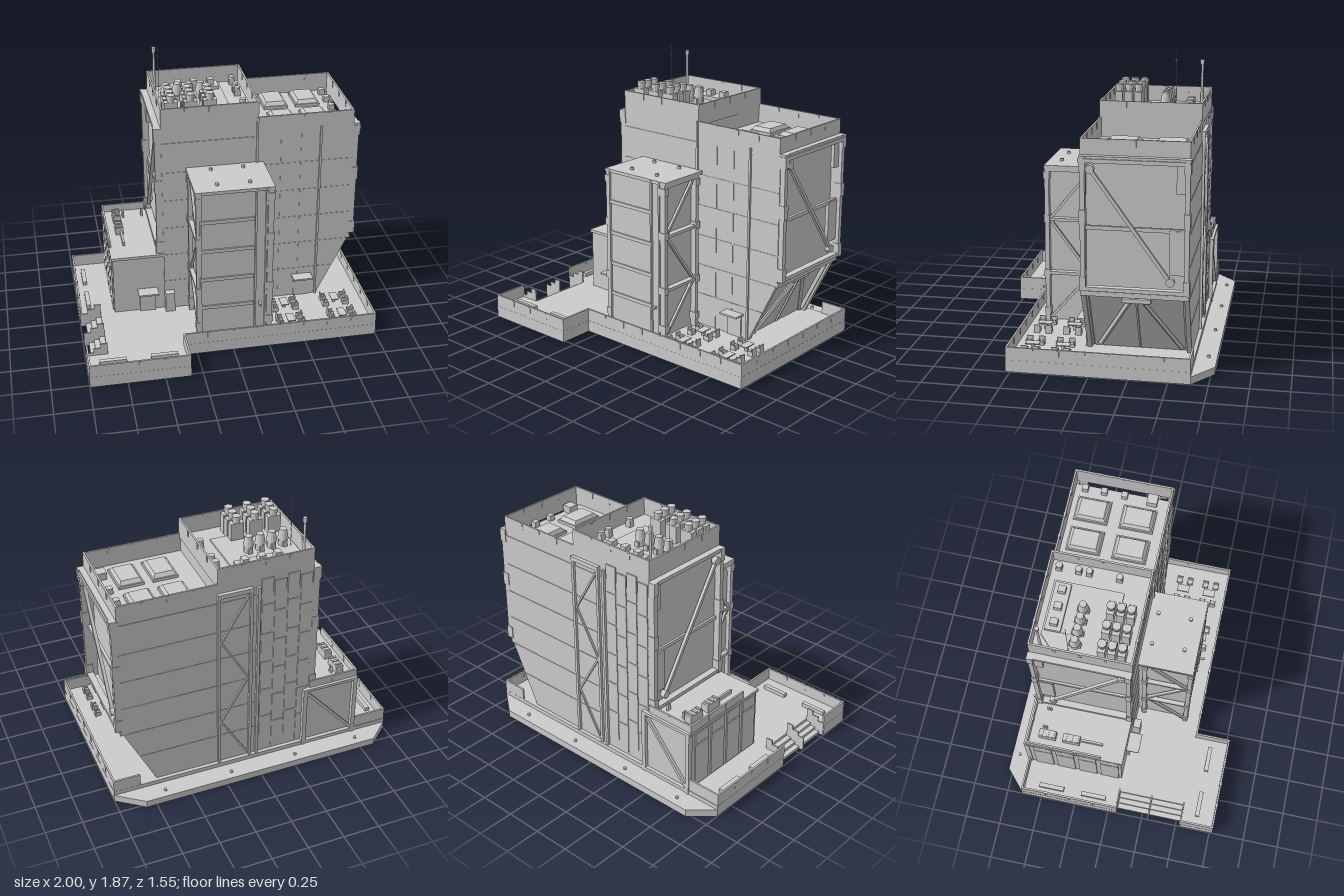
import * as THREE from 'three';

const mat = new THREE.MeshStandardMaterial({ color: 0xcccccc, flatShading: true });

export function createModel() {
  const root = new THREE.Group();
  let group = root;
  const section = (name) => { group = new THREE.Group(); group.name = name; root.add(group); };
  const add = (name, geo) => {
    const m = new THREE.Mesh(geo, mat);
    m.name = name;
    group.add(m);
    return m;
  };
  // Box given by its extents
  const box = (name, x0, x1, y0, y1, z0, z1) =>
    add(name, new THREE.BoxGeometry(x1 - x0, y1 - y0, z1 - z0)
      .translate((x0 + x1) / 2, (y0 + y1) / 2, (z0 + z1) / 2));
  const cyl = (name, x, z, y0, y1, r0, r1 = r0, n = 12) =>
    add(name, new THREE.CylinderGeometry(r1, r0, y1 - y0, n).translate(x, (y0 + y1) / 2, z));
  // Square bar between two points
  const beam = (name, a, b, w = 0.014) => {
    const p = new THREE.Vector3(...a), q = new THREE.Vector3(...b);
    const m = add(name, new THREE.BoxGeometry(w, w, p.distanceTo(q)));
    m.position.copy(p).lerp(q, 0.5);
    m.lookAt(q);
  };
  const shapeOf = (pts) => new THREE.Shape(pts.map(p => new THREE.Vector2(...p)));
  // Plan outline (x, z) raised from y0 to y1
  const plan = (name, pts, y0, y1) => add(name,
    new THREE.ExtrudeGeometry(shapeOf(pts.map(([x, z]) => [x, -z])), { depth: y1 - y0, bevelEnabled: false })
      .rotateX(-Math.PI / 2).translate(0, y0, 0));
  // Elevation outline (x, y) run from z0 to z1
  const slab = (name, pts, z0, z1) => add(name,
    new THREE.ExtrudeGeometry(shapeOf(pts), { depth: z1 - z0, bevelEnabled: false }).translate(0, 0, z0));
  // Thin wall along a plan path, with small ribs at the panel joints
  const parapet = (name, pts, y0, y1, t = 0.012) => {
    for (let i = 0; i < pts.length - 1; i++) {
      const [ax, az] = pts[i], [bx, bz] = pts[i + 1];
      const h = t / 2, len = Math.hypot(bx - ax, bz - az), n = Math.max(1, Math.round(len / 0.17));
      box(name, Math.min(ax, bx) - h, Math.max(ax, bx) + h, y0, y1, Math.min(az, bz) - h, Math.max(az, bz) + h);
      for (let k = 1; k < n; k++) {
        const x = ax + (bx - ax) * k / n, z = az + (bz - az) * k / n;
        box(name + 'Rib', x - 0.009, x + 0.009, y1 - 0.045, y1 - 0.004, z - 0.009, z + 0.009);
      }
    }
  };
  const D = 0.08; // deck level

  // Base with a notch for the entrance steps
  section('base');
  plan('plinth', [[-1, -0.64], [1, -0.64], [1, 0.53], [-0.33, 0.53], [-0.33, 0.77], [-1, 0.77],
    [-1, 0.53], [-0.855, 0.53], [-0.855, 0.06], [-1, 0.06]], 0, D);
  plan('rearLedge', [[-1, -0.64], [-0.85, -0.775], [0.82, -0.775], [1, -0.64]], 0, 0.05);
  for (const x of [-0.73, -0.27, 0.2, 0.67]) cyl('ledgeBollard', x, -0.72, 0.05, 0.065, 0.01);
  parapet('deckParapet', [[-0.76, -0.63], [-0.993, -0.63], [-0.993, 0.06]], D, 0.165);
  parapet('deckParapet', [[-0.993, 0.53], [-0.993, 0.763], [-0.337, 0.763], [-0.337, 0.523], [0.993, 0.523],
    [0.993, -0.633], [0.82, -0.633]], D, 0.165);
  for (let i = 0; i < 3; i++) {
    const x = -0.964 + i * 0.036;
    box('step', x, x + 0.037, i * 0.02, 0.02 + i * 0.02, 0.06, 0.53);
  }
  for (const z of [0.06, 0.295, 0.53]) for (let i = 0; i < 3; i++)
    box('stairRail', -0.995 + i * 0.047, -0.948 + i * 0.047, 0, 0.1 + i * 0.032, z - 0.005, z + 0.005);

  // Deck furniture
  section('deckFurniture');
  for (const [x, z, w, d] of [[-0.93, -0.43, 0.03, 0.18], [-0.93, -0.12, 0.03, 0.18], [-0.83, 0.64, 0.18, 0.03], [-0.49, 0.64, 0.18, 0.03]])
    box('bench', x - w / 2, x + w / 2, D, D + 0.028, z - d / 2, z + d / 2);
  for (const x of [0.425, 0.79]) for (const z of [0.2, 0.4]) {
    box('tableTop', x - 0.027, x + 0.027, 0.118, 0.125, z - 0.045, z + 0.045);
    box('tableLeg', x - 0.01, x + 0.01, D, 0.118, z - 0.01, z + 0.01);
    for (const s of [-1, 1]) for (const dz of [-0.04, 0.04]) {
      const cx = x + s * 0.07, cz = z + dz;
      box('chairSeat', cx - 0.02, cx + 0.02, D + 0.005, 0.105, cz - 0.02, cz + 0.02);
      box('chairBack', cx + s * 0.018 - 0.004, cx + s * 0.018 + 0.004, D, 0.135, cz - 0.02, cz + 0.02);
      for (const a of [-1, 1]) box('chairArm', cx - 0.018, cx + 0.018, 0.105, 0.117, cz + a * 0.018 - 0.004, cz + a * 0.018 + 0.004);
    }
  }

  // Main block: recessed sloping end between two cheek walls
  section('mainBlock');
  const profile = (x, y) => [[-0.4, 0.05], [x - 0.22, 0.05], [x - 0.22, D], [x, 0.53], [x, y], [-0.4, y]];
  slab('body', profile(0.87, 1.37), -0.6, 0.05);
  slab('frontWall', profile(0.915, 1.36), 0.03, 0.06);
  slab('rearWall', profile(0.915, 1.36), -0.615, -0.585);
  box('tower', -0.4, 0.25, 1.3, 1.49, -0.61, 0.055);
  parapet('mainParapet', [[0.25, 0.055], [0.905, 0.055], [0.905, -0.605], [0.25, -0.605]], 1.36, 1.5);
  parapet('towerParapet', [[-0.395, 0.055], [0.25, 0.055], [0.25, -0.605], [-0.395, -0.605], [-0.395, 0.055]], 1.47, 1.61);
  box('eaves', 0.9, 0.96, 1.36, 1.385, -0.615, 0.065);

  // Cladding joints on the long walls
  for (let y = 0.3; y < 1.3; y += 0.21) {
    const end = Math.min(0.91, 0.69 + Math.max(0, y - D) * 0.489);
    for (const [z, s] of [[0.06, 1], [-0.615, -1]])
      box('wallJoint', -0.4, end, y, y + 0.005, Math.min(z, z + s * 0.003), Math.max(z, z + s * 0.003));
  }
  for (const x of [0.41, 0.55]) box('wallJoint', x, x + 0.004, D, 1.36, 0.06, 0.063);
  box('frontDownpipe', 0.678, 0.692, 0.08, 1.4, 0.055, 0.072);
  box('frontPilaster', 0.24, 0.255, 0.08, 1.5, 0.055, 0.07);

  // Rear pilasters, zigzag brace and staggered cladding
  section('rearDetails');
  for (const x of [-0.02, 0.03, 0.25]) box('rearPilaster', x - 0.01, x + 0.01, 0.05, 1.42, -0.632, -0.61);
  box('rearPilasterCap', 0.02, 0.26, 1.4, 1.43, -0.635, -0.6);
  for (let i = 0; i < 4; i++) {
    const x = [0.045, 0.235], y = 0.1 + i * 0.32;
    beam('rearBrace', [x[i % 2], y, -0.622], [x[1 - i % 2], y + 0.32, -0.622], 0.012);
  }
  for (let c = 0; c < 4; c++) for (let r = 0; r < 6; r++) {
    const x = -0.395 + c * 0.09, y = 0.1 + r * 0.225 + (c % 2) * 0.06;
    box('rearCladding', x + 0.004, x + 0.084, y, Math.min(y + 0.215, 1.47), -0.62, -0.61);
  }

  // Braced frames on both ends: s is the outward side, x the wall face
  const endFrame = (name, x, s, y0, y1) => {
    section(name);
    const bx = (n, a, b, ya, yb, za, zb) => box(n, Math.min(x + s * a, x + s * b), Math.max(x + s * a, x + s * b), ya, yb, za, zb);
    for (const z of [0.04, -0.6]) {
      bx('framePost', 0, 0.045, y0, y1, z - 0.015, z + 0.015);
      for (const y of [y0, (y0 + y1) / 2, y1 - 0.09]) bx('postPlate', 0, 0.052, y, y + 0.09, z - 0.02, z + 0.02);
    }
    for (const y of [y0, y1 - 0.025]) bx('frameRail', 0, 0.045, y, y + 0.025, -0.6, 0.04);
    bx('midRail', -0.005, 0.015, 0.935, 0.96, -0.59, 0.03);
    bx('sideStrip', -0.005, 0.02, y0 + 0.12, y0 + 0.4, -0.59, -0.49);
    bx('sideStrip', -0.005, 0.02, y1 - 0.22, y1 - 0.03, -0.59, -0.53);
    const a = [x + s * 0.03, y1 - 0.08, -0.005], b = [x + s * 0.03, y0 + 0.08, -0.5];
    beam('diagonalBrace', a, b, 0.022);
    for (const p of [a, b])
      add('bracePin', new THREE.CylinderGeometry(0.027, 0.027, 0.035, 14).rotateZ(Math.PI / 2).translate(...p));
  };
  endFrame('leftEndFrame', 0.905, 1, 0.55, 1.4);
  endFrame('rightEndFrame', -0.4, -1, 0.53, 1.47);

  // Bracing on the sloping foot
  section('slopeBracing');
  const slopeX = (y) => 0.665 + (y - D) * 0.489;
  box('slopeHead', 0.85, 0.925, 0.51, 0.54, -0.615, 0.06);
  for (const [za, zb] of [[-0.02, -0.24], [-0.55, -0.32]]) {
    beam('slopeBrace', [slopeX(0.1), 0.1, za], [slopeX(0.47), 0.47, zb], 0.022);
    beam('slopeEdge', [slopeX(0.1), 0.1, za < -0.3 ? -0.585 : 0.03], [slopeX(0.5), 0.5, za < -0.3 ? -0.585 : 0.03], 0.025);
  }
  beam('slopeRib', [slopeX(0.1), 0.1, -0.28], [slopeX(0.5), 0.5, -0.28], 0.012);
  beam('slopeHeadPlate', [slopeX(0.47), 0.47, -0.19], [slopeX(0.47), 0.47, -0.37], 0.028);

  // Stair tower on the front, with braced flanks
  section('stairTower');
  box('shaft', -0.2, 0.24, D, 1.165, 0.05, 0.42);
  box('towerCap', -0.24, 0.29, 1.15, 1.172, 0.05, 0.43);
  for (let i = 0; i < 4; i++) box('frontBand', -0.2, 0.155, 0.28 + i * 0.218, 0.305 + i * 0.218, 0.415, 0.43);
  for (const x of [-0.205, 0.165, 0.235]) box('frontRib', x - 0.006, x + 0.006, D, 1.165, 0.41, 0.435);
  for (const [x, s] of [[0.265, 1], [-0.22, -1]]) {
    const w = s > 0 ? 0.02 : 0.015;
    for (const z of [0.415, 0.105]) {
      box('flankPost', x - w, x + w, D, 1.15, z - 0.015, z + 0.015);
      for (const y of [0.13, 0.4, 0.78, 1.08])
        box('flankJoint', x - w - 0.006, x + w + 0.006, y, y + 0.05, z - 0.02, z + 0.02);
    }
    const ys = [0.1, 0.425, 0.8, 1.14];
    for (let i = 0; i < 3; i++) {
      box('flankRail', x - w, x + w, ys[i + 1] - 0.01, ys[i + 1] + 0.01, 0.1, 0.42);
      const up = i !== 1;
      beam('flankBrace', [x, ys[i], up ? 0.4 : 0.12], [x, ys[i + 1], up ? 0.12 : 0.4], 0.018);
    }
  }
  for (const x of [-0.08, 0.14]) for (const z of [0.12, 0.34]) cyl('capVent', x, z, 1.17, 1.188, 0.013);
  box('wallLamp', 0.19, 0.205, 0.285, 0.3, 0.42, 0.47);

  // Low annex with its roof gear
  section('annex');
  box('annexBody', -0.755, -0.38, 0.05, 0.5, -0.62, 0.05);
  box('annexRoofEdge', -0.765, -0.39, 0.5, 0.52, -0.63, 0.06);
  parapet('annexParapet', [[-0.755, -0.1], [-0.755, -0.62], [-0.41, -0.62]], 0.52, 0.575);
  for (const z of [-0.49, -0.32]) {
    box('roofUnit', -0.695, -0.64, 0.52, 0.575, z - 0.06, z + 0.06);
    for (let k = 0; k < 3; k++) box('roofUnitFin', -0.69, -0.645, 0.575, 0.582, z - 0.045 + k * 0.04, z - 0.03 + k * 0.04);
  }
  box('roofDuct', -0.665, -0.65, 0.52, 0.55, -0.26, -0.1);
  for (const x of [-0.615, -0.48]) for (const z of [-0.53, -0.51]) cyl('roofVent', x, z, 0.52, 0.57, 0.008);
  for (const x of [-0.745, -0.37]) box('annexRearPost', x - 0.015, x + 0.015, 0.05, 0.52, -0.645, -0.61);
  for (const y of [0.06, 0.5]) box('annexRearRail', -0.76, -0.355, y, y + 0.02, -0.645, -0.61);
  beam('annexBrace', [-0.73, 0.09, -0.63], [-0.39, 0.48, -0.63], 0.02);
  for (let i = 0; i < 4; i++) {
    const z = -0.58 + i * 0.16;
    box('annexSidePanel', -0.763, -0.75, 0.09, 0.4, z, z + 0.13);
    box('annexSideUpper', -0.763, -0.75, 0.41, 0.49, z, z + 0.13);
  }

  // Doors and canopies
  section('entrances');
  for (const x of [-0.52, 0.58]) {
    box('canopy', x - 0.07, x + 0.07, 0.24, 0.252, 0.05, 0.14);
    box('door', x - 0.055, x + 0.055, D, 0.235, 0.05, 0.068);
  }
  box('sideDoor', -0.4, -0.335, D, 0.225, 0.05, 0.11);

  // Skylights and vents on the lower roof
  section('mainRoof');
  for (const x of [0.463, 0.69]) for (const z of [-0.447, -0.137]) {
    box('skylightCurb', x - 0.085, x + 0.085, 1.37, 1.39, z - 0.115, z + 0.115);
    const hood = add('skylight', new THREE.CylinderGeometry(0.088, 0.108, 0.025, 4, 1).rotateY(Math.PI / 4));
    hood.scale.set(1, 1, 1.4);
    hood.position.set(x, 1.402, z);
  }
  for (const z of [-0.53, -0.4, -0.26]) box('roofVent', 0.82, 0.86, 1.37, 1.41, z - 0.02, z + 0.02);
  box('roofHatch', 0.805, 0.875, 1.37, 1.42, -0.105, -0.035);

  // Machinery on the tower roof
  section('towerRoof');
  plan('machineDeck', [[-0.38, -0.1], [-0.38, -0.46], [-0.28, -0.56], [0.1, -0.56], [0.1, -0.1]], 1.49, 1.505);
  for (const x of [-0.32, -0.19, -0.06]) for (const z of [-0.02, -0.085, -0.15]) {
    box('stackBase', x - 0.045, x + 0.045, 1.49, 1.625, z - 0.025, z + 0.025);
    cyl('stack', x, z, 1.61, 1.645, 0.024);
    cyl('stackCap', x, z, 1.645, 1.672, 0.028);
  }
  for (const x of [-0.31, -0.23, -0.15, -0.07]) {
    cyl('fanBase', x, -0.33, 1.5, 1.55, 0.03);
    cyl('fanHood', x, -0.33, 1.55, 1.62, 0.036, 0.024);
    box('fanDuct', x - 0.015, x + 0.015, 1.5, 1.54, -0.37, -0.29);
  }
  box('plantBox', -0.25, 0.08, 1.5, 1.53, -0.545, -0.44);
  for (const x of [-0.2, -0.09, 0.025]) box('plantVent', x - 0.022, x + 0.022, 1.53, 1.57, -0.515, -0.465);
  for (const z of [-0.55, -0.42, -0.35, -0.15]) {
    box('roofPad', 0.17, 0.21, 1.49, 1.53, z - 0.02, z + 0.02);
    cyl('roofPadCap', 0.19, z, 1.53, 1.55, 0.022);
  }
  cyl('mast', -0.355, -0.545, 1.49, 1.79, 0.01, 0.008);
  cyl('mastHead', -0.355, -0.545, 1.775, 1.805, 0.014);
  cyl('antenna', -0.35, -0.365, 1.49, 1.87, 0.002, 0.002, 6);
  for (const s of [-1, 1]) beam('antennaArm', [-0.35, 1.79, -0.365], [-0.35, 1.805, -0.365 + s * 0.025], 0.003);
  return root;
}
